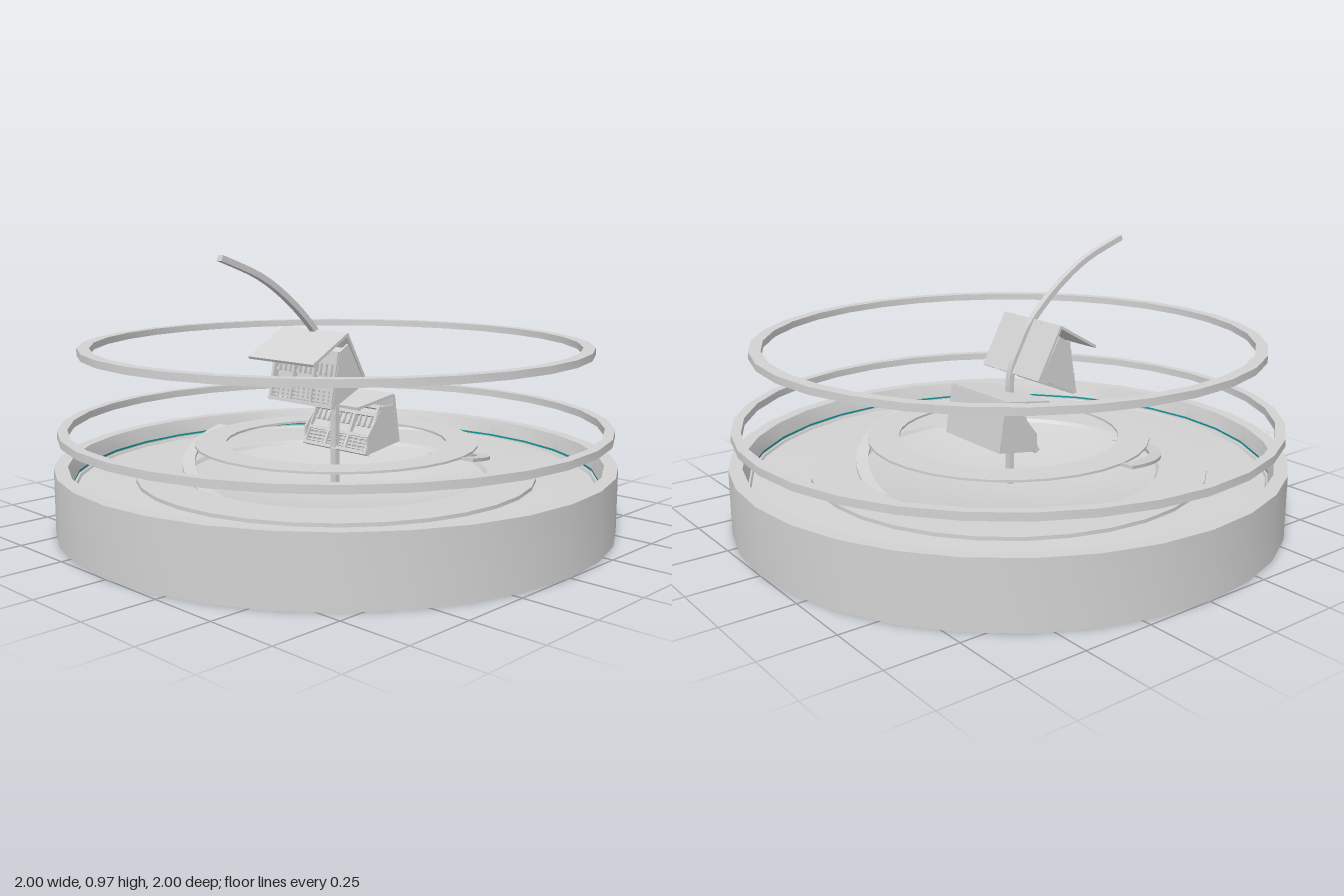
import * as THREE from 'three';
import { toCreasedNormals } from 'three/addons/utils/BufferGeometryUtils.js';

const grey = new THREE.MeshStandardMaterial({ color: 0xd2d2d2 });
grey.name = 'plainGrey';
const teal = new THREE.MeshStandardMaterial({ color: 0x109a9e });
teal.name = 'tealGlow';

function add(parent, name, geometry, material = grey) {
  const mesh = new THREE.Mesh(geometry, material);
  mesh.name = name;
  parent.add(mesh);
  return mesh;
}

// Turned part from [radius, height] points
function turned(points, segments = 32) {
  const profile = points.map(([r, y]) => new THREE.Vector2(r, y));
  return toCreasedNormals(new THREE.LatheGeometry(profile, segments), 0.35);
}

function flatRing(inner, outer, low, high) {
  return turned([[inner, low], [outer, low], [outer, high], [inner, high], [inner, low]]);
}

// Side outline given as [z, y], extruded along x
function sidePlate(points, x, width) {
  const shape = new THREE.Shape(points.map(([z, y]) => new THREE.Vector2(z, y)));
  const geo = new THREE.ExtrudeGeometry(shape, { depth: width, bevelEnabled: false });
  geo.rotateY(-Math.PI / 2);
  geo.translate(x + width / 2, 0, 0);
  return geo;
}

// Bent bar of rectangular section following [z, y] points
function bentBar(points, width, thick, steps = 28) {
  const curve = new THREE.SplineCurve(points.map(([z, y]) => new THREE.Vector2(z, y)));
  const right = [], left = [];
  for (let i = 0; i <= steps; i++) {
    const p = curve.getPoint(i / steps), t = curve.getTangent(i / steps);
    const oz = t.y * thick / 2, oy = -t.x * thick / 2;
    right.push([p.x + oz, p.y + oy]);
    left.unshift([p.x - oz, p.y - oy]);
  }
  return toCreasedNormals(sidePlate([...right, ...left], 0, width), 0.35);
}

// Slab whose centre line runs between two [z, y] points
function slab(a, b, width, thick) {
  const dz = b[0] - a[0], dy = b[1] - a[1];
  const geo = new THREE.BoxGeometry(width, Math.hypot(dz, dy), thick);
  geo.rotateX(Math.atan2(dz, dy));
  geo.translate(0, (a[1] + b[1]) / 2, (a[0] + b[0]) / 2);
  return geo;
}

// Curved ramp with a rectangular section that climbs along its arc
function rampGeometry(inner, outer, a0, a1, y0, y1, thick, steps = 24) {
  const pos = [], idx = [];
  for (let s = 0; s <= steps; s++) {
    const t = s / steps, a = a0 + (a1 - a0) * t, y = y0 + (y1 - y0) * t;
    for (const [r, h] of [[inner, y - thick], [outer, y - thick], [outer, y], [inner, y]])
      pos.push(r * Math.cos(a), h, r * Math.sin(a));
    if (s === steps) continue;
    for (let i = 0; i < 4; i++) {
      const p = s * 4 + i, q = s * 4 + (i + 1) % 4;
      idx.push(p, q, q + 4, p, q + 4, p + 4);
    }
  }
  const e = steps * 4;
  idx.push(0, 3, 2, 0, 2, 1, e, e + 1, e + 2, e, e + 2, e + 3);
  const geo = new THREE.BufferGeometry();
  geo.setAttribute('position', new THREE.Float32BufferAttribute(pos, 3));
  geo.setIndex(idx);
  return toCreasedNormals(geo, 0.35);
}

// Three-bay front, laid along the face from its bottom to its top point
function bayFront(parent, bottom, top) {
  const dz = top[0] - bottom[0], dy = top[1] - bottom[1], h = Math.hypot(dz, dy);
  const front = new THREE.Group();
  front.name = 'bayFront';
  front.position.set(0, bottom[1], bottom[0]);
  front.rotation.x = Math.atan2(dz, dy);
  parent.add(front);
  const box = (name, w, hh, d, x, y, z) =>
    add(front, name, new THREE.BoxGeometry(w, hh, d)).position.set(x, y, z);
  for (const t of [0.03, 0.36, 0.8, 0.97]) box('rail', 0.32, 0.012, 0.02, 0, h * t, 0);
  for (let i = 0; i < 4; i++) box('divider', 0.012, h, 0.02, -0.152 + i * 0.1013, h / 2, 0);
  for (let i = 0; i < 3; i++) {
    const x = -0.1013 + i * 0.1013;
    for (const t of [0.1, 0.17, 0.24, 0.31]) box('gridBar', 0.09, 0.006, 0.012, x, h * t, -0.004);
    for (let j = -1; j <= 1; j++) {
      box('peg', 0.006, h * 0.2, 0.01, x + j * 0.026, h * 0.68, -0.002);
      box('pegHead', 0.012, 0.012, 0.014, x + j * 0.026, h * 0.58, 0.002);
      box('gridPost', 0.005, h * 0.3, 0.01, x + j * 0.026, h * 0.2, -0.004);
    }
  }
}

// Small cabin: side walls, core, sloping back and roof
function cabin(name, { outline, core, back, roof, front }) {
  const group = new THREE.Group();
  group.name = name;
  for (const side of [-1, 1]) add(group, 'sideWall', sidePlate(outline, side * 0.156, 0.008));
  add(group, 'core', sidePlate(core, 0, 0.3));
  add(group, 'back', slab(back[0], back[1], 0.325, 0.01));
  add(group, 'roof', slab(roof[0], roof[1], 0.325, 0.01));
  bayFront(group, front[0], front[1]);
  return group;
}

export function createModel() {
  const model = new THREE.Group();
  model.name = 'ringedDish';

  // Dish with a raised rim, a grooved inner wall, a low step and a shallow bowl
  add(model, 'dish', turned([
    [0, 0], [1, 0], [1, 0.232], [0.952, 0.232], [0.935, 0.178], [0.939, 0.178],
    [0.939, 0.164], [0.932, 0.164], [0.927, 0.155], [0.72, 0.165], [0.72, 0.178],
    [0.55, 0.178], [0.54, 0.165], [0.3, 0.11], [0, 0.09],
  ]));
  add(model, 'glowStrip', turned([[0.937, 0.176], [0.937, 0.169]]), teal);

  // Floating hoops and the flat inner walkway
  add(model, 'lowerHoop', flatRing(0.95, 0.985, 0.335, 0.362));
  add(model, 'upperHoop', flatRing(0.868, 0.91, 0.62, 0.645));
  add(model, 'walkway', flatRing(0.4, 0.512, 0.279, 0.287));

  // Pair of curved ramps, half a turn apart
  const ramp = rampGeometry(0.512, 0.556, -1.66, -0.18, 0.15, 0.287, 0.012);
  for (let i = 0; i < 2; i++) add(model, 'ramp', ramp).rotation.y = i * Math.PI;

  // Bent stem
  add(model, 'stem', bentBar([
    [0.006, 0.085], [0.006, 0.3], [0.008, 0.5], [0.05, 0.6], [0.105, 0.69],
    [0.22, 0.8], [0.36, 0.893], [0.533, 0.96],
  ], 0.025, 0.02));

  // Two cabins hung on the stem
  model.add(cabin('lowerCabin', {
    outline: [[-0.16, 0.28], [0.005, 0.255], [0.005, 0.32], [-0.075, 0.42], [-0.138, 0.42]],
    core: [[-0.155, 0.283], [-0.025, 0.262], [-0.025, 0.32], [-0.09, 0.41], [-0.135, 0.41]],
    back: [[-0.16, 0.28], [-0.132, 0.455]],
    roof: [[-0.132, 0.456], [0.058, 0.428]],
    front: [[0.008, 0.255], [-0.07, 0.42]],
  }));
  model.add(cabin('upperCabin', {
    outline: [[0.02, 0.515], [0.182, 0.44], [0.145, 0.635], [0.105, 0.66]],
    core: [[0.025, 0.518], [0.158, 0.457], [0.125, 0.63], [0.105, 0.645]],
    back: [[0.01, 0.51], [0.108, 0.69]],
    roof: [[0.105, 0.695], [0.275, 0.6]],
    front: [[0.178, 0.442], [0.143, 0.635]],
  }));
  return model;
}
